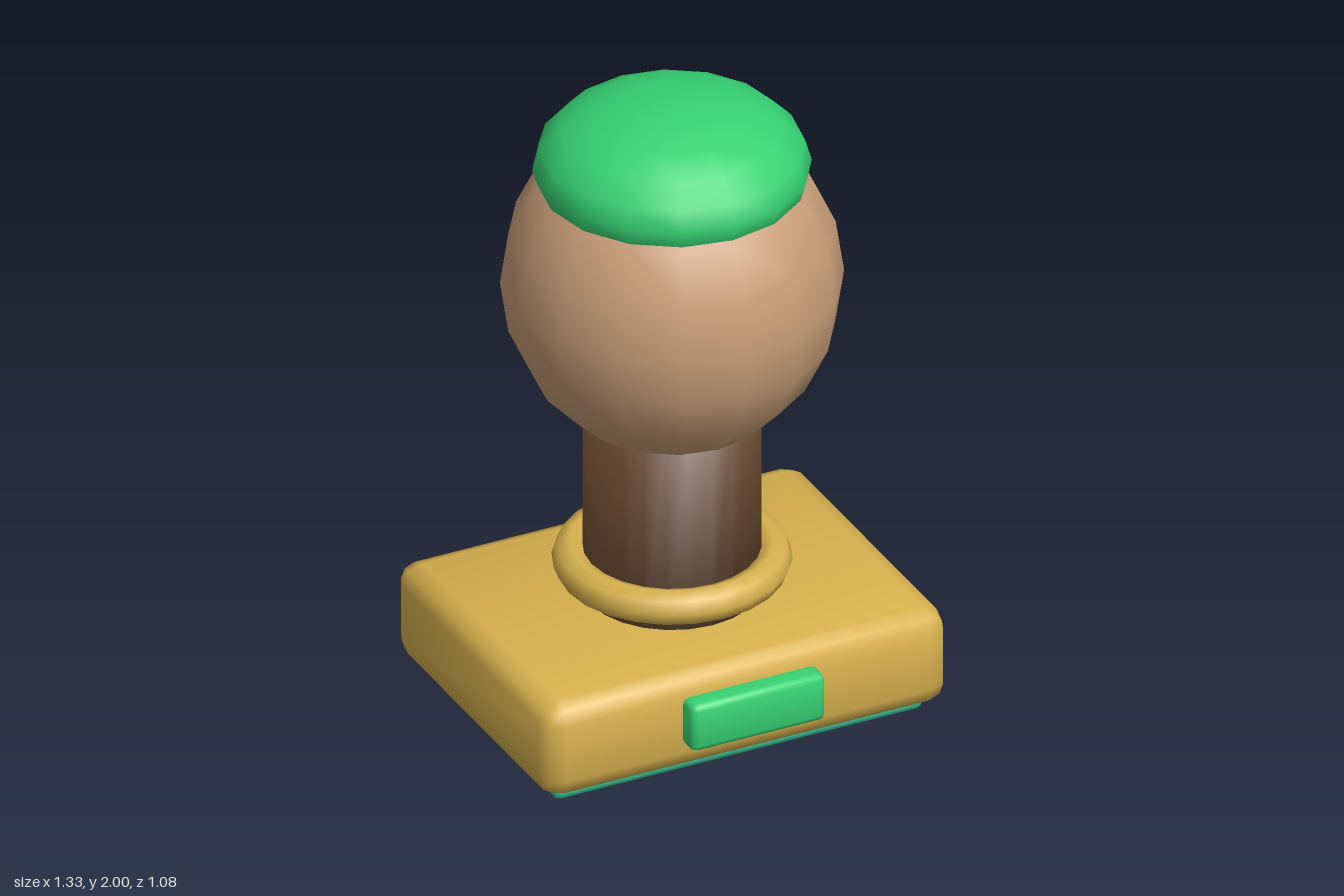
import * as THREE from 'three';
import { RoundedBoxGeometry } from 'three/addons/geometries/RoundedBoxGeometry.js';

const material = (name, color) => {
  const m = new THREE.MeshStandardMaterial({ color });
  m.name = name;
  return m;
};

// Soft shading: lean the normals of flat faces outward towards their edges
function soften(geometry, amount, axes) {
  const { position, normal } = geometry.attributes;
  const n = new THREE.Vector3();
  for (let i = 0; i < normal.count; i++) {
    n.fromBufferAttribute(normal, i);
    for (const a of axes) {
      if (Math.abs(n.getComponent(a)) < 0.01) {
        n.setComponent(a, amount * Math.sign(position.getComponent(i, a)));
      }
    }
    n.normalize();
    normal.setXYZ(i, n.x, n.y, n.z);
  }
  return geometry;
}

const softBox = (w, h, d, radius) =>
  soften(new RoundedBoxGeometry(w, h, d, 1, radius), 0.2, [0, 1, 2]);

export function createModel() {
  const green = material('emerald green', 0x36d273);
  const gold = material('brass gold', 0xd8b24e);
  const tan = material('light wood', 0xc89e78);
  const brown = material('dark wood', 0x6c4b31);
  const teal = material('pad teal', 0x3ac298);

  const group = new THREE.Group();
  const add = (name, geometry, mat, y, z = -0.033) => {
    const mesh = new THREE.Mesh(geometry, mat);
    mesh.name = name;
    mesh.position.set(0, y, z);
    group.add(mesh);
    return mesh;
  };

  // Stamp base: ink pad under a rounded block, with a small front plate
  add('inkPad', softBox(1.21, 0.075, 0.89, 0.02), teal, 0.0375);
  add('baseBlock', softBox(1.33, 0.315, 1.015, 0.065), gold, 0.1925);
  add('frontPlate', softBox(0.44, 0.155, 0.11, 0.02), green, 0.2075, 0.485);

  // Handle: neck, collar ring, knob and cap
  const neck = new THREE.CylinderGeometry(0.264, 0.264, 0.76, 24, 1, true);
  add('neck', soften(neck, 0.9, [1]), brown, 0.68);
  add('collarRing', new THREE.TorusGeometry(0.3, 0.055, 8, 24).rotateX(Math.PI / 2), gold, 0.45);
  add('knob', new THREE.SphereGeometry(0.507, 16, 10), tan, 1.4).scale.y = 1.06;
  const cap = new THREE.SphereGeometry(0.412, 16, 6, 0, Math.PI * 2, 0, Math.PI * 0.6);
  add('knobCap', cap, green, 1.78).scale.y = 0.22 / 0.412;
  return group;
}
